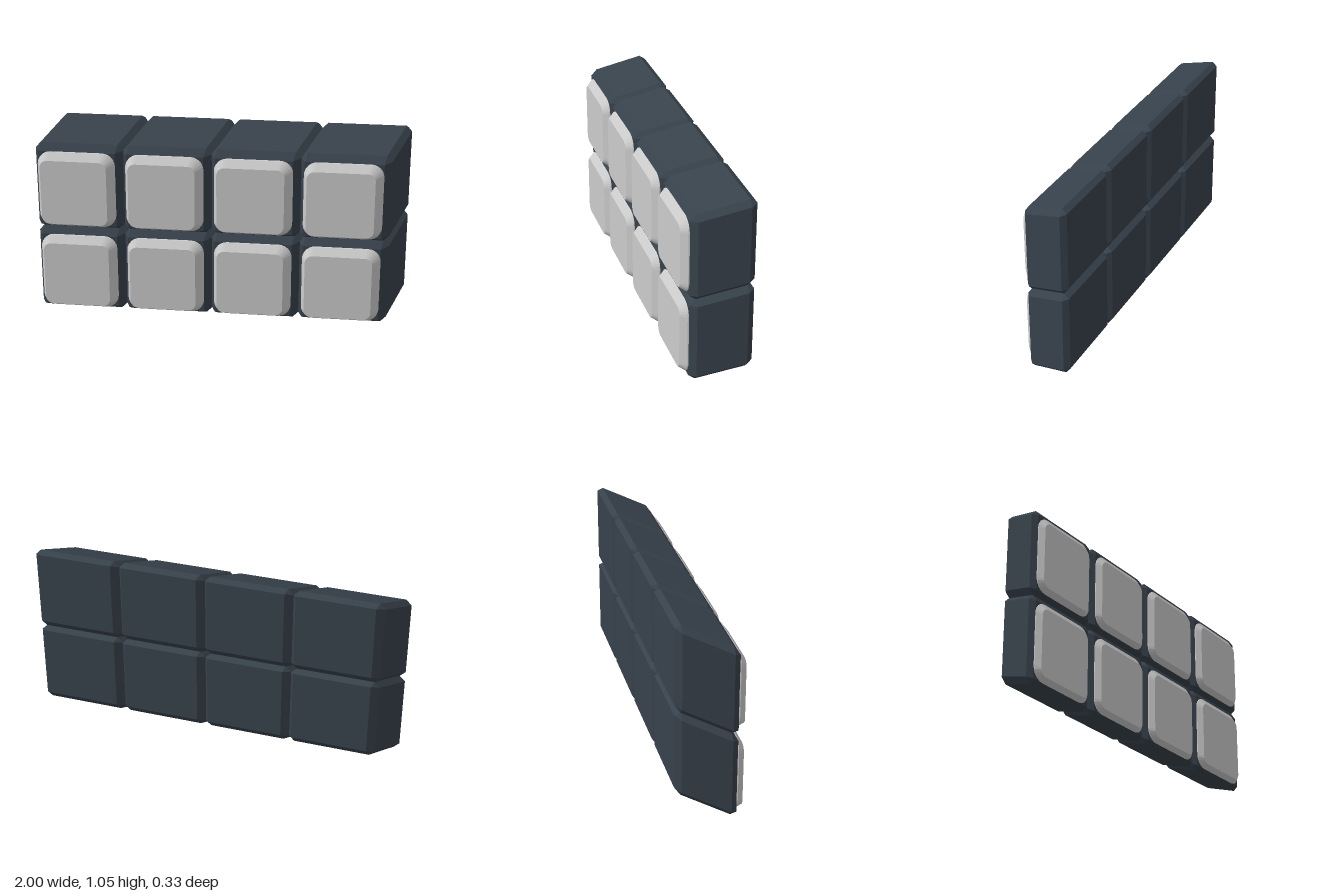
import * as THREE from 'three';
import { ConvexGeometry } from 'three/addons/geometries/ConvexGeometry.js';

const PITCH = 0.4765; // block size and spacing
const BEVEL = 0.03;
const BACK = -0.165, FRONT = 0.13;

// Everything leans right and up towards the back.
const lean = new THREE.Matrix4().makeShear(0, 0, 0, 0, -0.4, -0.4);

// Box with all twelve edges chamfered.
function chamferedBox(w, h, d, c) {
  const points = [];
  for (const sx of [-1, 1]) for (const sy of [-1, 1]) for (const sz of [-1, 1]) {
    for (let axis = 0; axis < 3; axis++) {
      const inset = [c, c, c];
      inset[axis] = 0;
      points.push(new THREE.Vector3(
        sx * (w / 2 - inset[0]), sy * (h / 2 - inset[1]), sz * (d / 2 - inset[2])));
    }
  }
  return new ConvexGeometry(points);
}

// Rounded square outline with half-width s and corner radius r.
function roundedSquare(s, r) {
  const shape = new THREE.Shape();
  const k = s - r;
  shape.absarc(k, k, r, 0, Math.PI / 2);
  shape.absarc(-k, k, r, Math.PI / 2, Math.PI);
  shape.absarc(-k, -k, r, Math.PI, Math.PI * 1.5);
  shape.absarc(k, -k, r, Math.PI * 1.5, Math.PI * 2);
  return shape;
}

export function createModel() {
  const group = new THREE.Group();
  const dark = new THREE.MeshStandardMaterial({ color: 0x37414b, flatShading: true });
  const grey = new THREE.MeshStandardMaterial({ color: 0xcccccc, flatShading: true });

  // Leaning block
  const blockGeometry = chamferedBox(PITCH, PITCH, FRONT - BACK, BEVEL);
  blockGeometry.translate(0, 0, (FRONT + BACK) / 2).applyMatrix4(lean);

  // Bevelled pad that sits through the block and stands proud of its front
  const padGeometry = new THREE.ExtrudeGeometry(roundedSquare(0.18, 0.04), {
    depth: 0.265, bevelEnabled: true, bevelThickness: BEVEL, bevelSize: 0.029,
    bevelSegments: 1, curveSegments: 3,
  });
  padGeometry.translate(0, 0, -0.13).applyMatrix4(lean);

  // Two rows of four
  for (let row = 0; row < 2; row++) {
    for (let col = 0; col < 4; col++) {
      const cell = new THREE.Group();
      cell.name = `cell_${row}_${col}`;
      const block = new THREE.Mesh(blockGeometry, dark);
      block.name = 'block';
      const pad = new THREE.Mesh(padGeometry, grey);
      pad.name = 'pad';
      cell.add(block, pad);
      cell.position.set(-0.96 + (col + 0.5) * PITCH, 0.04 + (row + 0.5) * PITCH, 0);
      group.add(cell);
    }
  }
  return group;
}
